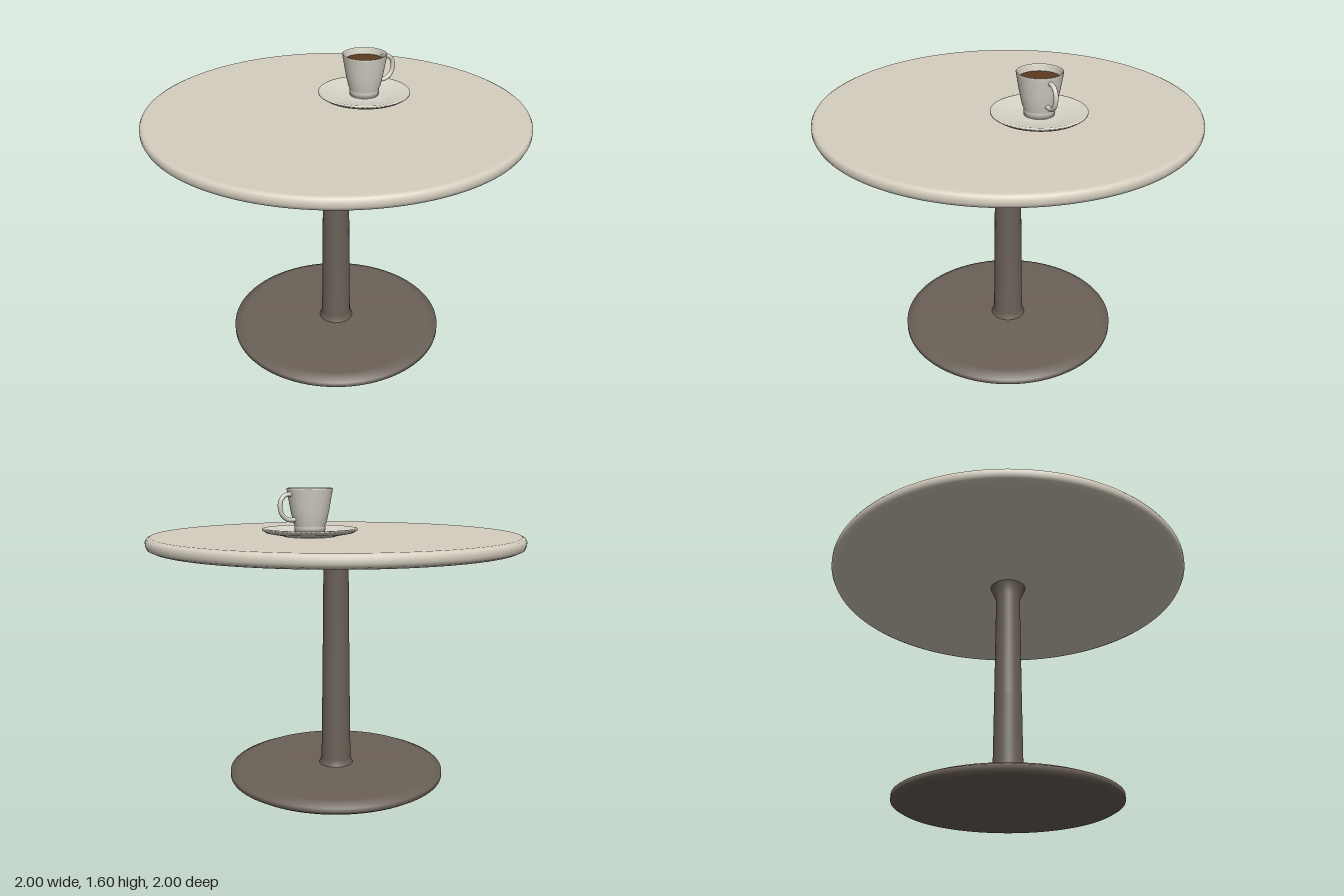
import * as THREE from 'three';

const material = (name, color) => {
  const m = new THREE.MeshStandardMaterial({ color });
  m.name = name;
  return m;
};

export function createModel() {
  const stone = material('warm stone', 0xd6cfc0);
  const metal = material('brown metal', 0x6b6157);
  const china = material('china', 0xd8d4c8);
  const brown = material('coffee', 0x5c3a20);

  const model = new THREE.Group();
  model.name = 'cafeTable';

  // Turned part from a profile of [radius, height] pairs, outside running upwards
  const turned = (name, mat, parent, profile, segments = 64) => {
    const points = profile.map(([r, y]) => new THREE.Vector2(r, y));
    const mesh = new THREE.Mesh(new THREE.LatheGeometry(points, segments), mat);
    mesh.name = name;
    parent.add(mesh);
    return mesh;
  };

  // Pedestal
  turned('base', metal, model, [
    [0, 0], [0.57, 0], [0.595, 0.015], [0.595, 0.042], [0.54, 0.065], [0, 0.065],
  ], 96);
  turned('column', metal, model, [
    [0.097, 0.06], [0.09, 0.075], [0.082, 0.1], [0.075, 0.6],
    [0.068, 1.21], [0.1, 1.287],
  ], 48);

  // Round top with a softened edge
  turned('tabletop', stone, model, [
    [0, 1.285], [0.97, 1.285], [0.992, 1.295], [1, 1.312],
    [1, 1.333], [0.992, 1.347], [0.975, 1.355], [0, 1.355],
  ], 128);

  // Cup and saucer, off centre on the table
  const setting = new THREE.Group();
  setting.name = 'cupAndSaucer';
  setting.position.set(0.21, 1.355, -0.075);
  model.add(setting);

  turned('saucer', china, setting, [
    [0, 0.001], [0.13, 0.001], [0.14, 0.006], [0.225, 0.022], [0.245, 0.036],
    [0.245, 0.043], [0.235, 0.045], [0.15, 0.026], [0.11, 0.022], [0, 0.022],
  ]);
  turned('cup', china, setting, [
    [0, 0.022], [0.078, 0.022], [0.079, 0.05], [0.078, 0.058], [0.086, 0.075],
    [0.1, 0.14], [0.117, 0.238], [0.118, 0.245], [0.114, 0.247],
    [0.109, 0.24], [0.094, 0.14], [0.076, 0.08], [0, 0.07],
  ], 48);

  const coffee = new THREE.Mesh(new THREE.CircleGeometry(0.106, 48), brown);
  coffee.name = 'coffee';
  coffee.rotation.x = -Math.PI / 2;
  coffee.position.y = 0.212;
  setting.add(coffee);

  // Looped handle on the +x side
  const path = new THREE.CatmullRomCurve3([
    [0.1, 0.213], [0.12, 0.217], [0.15, 0.209], [0.171, 0.182], [0.174, 0.152],
    [0.163, 0.117], [0.14, 0.096], [0.115, 0.089], [0.09, 0.09],
  ].map(([x, y]) => new THREE.Vector3(x, y, 0)));
  const handle = new THREE.Mesh(new THREE.TubeGeometry(path, 40, 0.0115, 12), china);
  handle.name = 'handle';
  setting.add(handle);

  return model;
}
